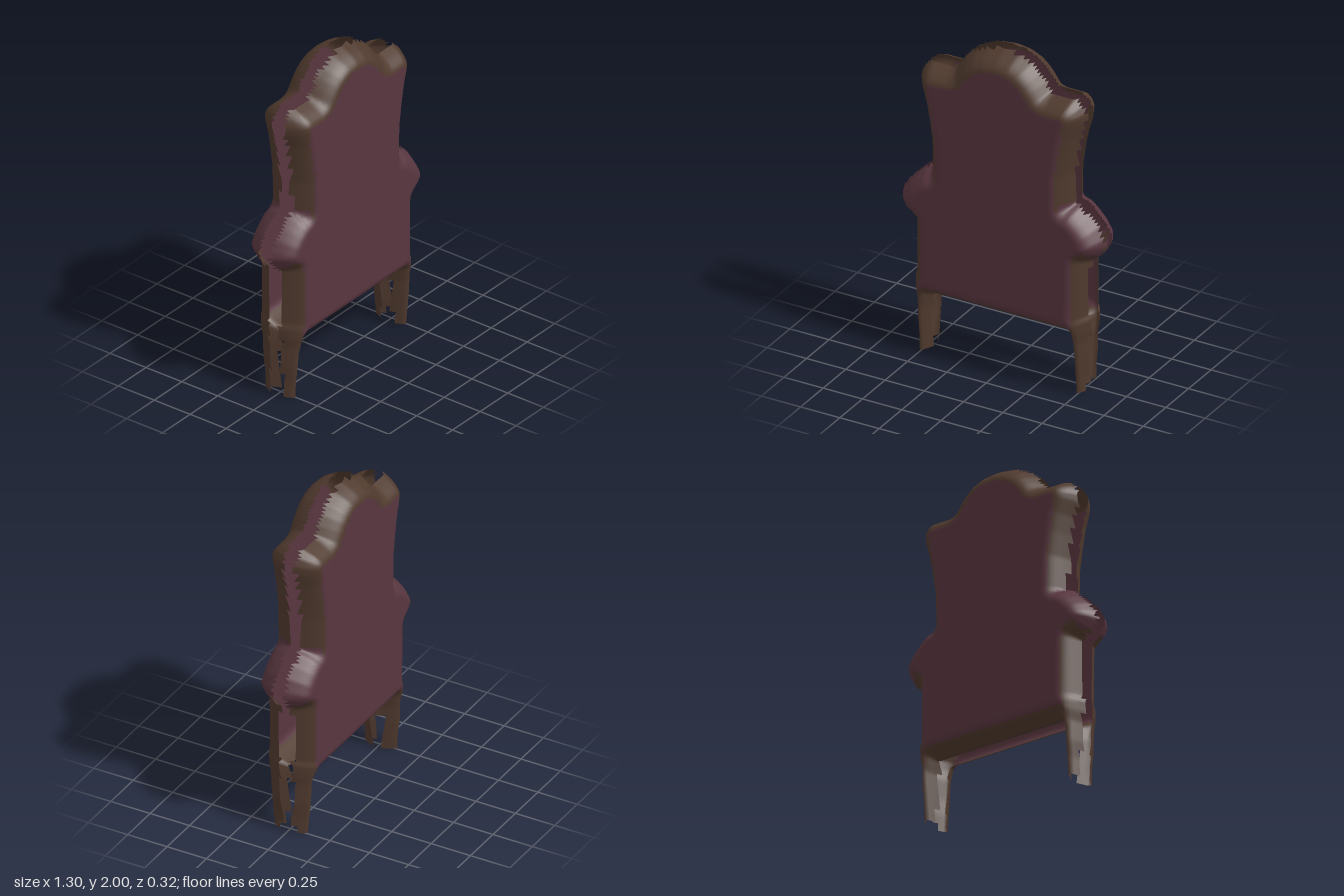
import * as THREE from 'three';

// Half outline of the chair, from the top of the crest to the middle of the seat rail
const OUTLINE = [
  [0, 2.0], [0.095, 1.988], [0.175, 1.952], [0.227, 1.907], [0.265, 1.862], [0.297, 1.817],
  [0.32, 1.81], [0.45, 1.81], [0.497, 1.775], [0.523, 1.725], [0.518, 1.67], [0.492, 1.58],
  [0.472, 1.475], [0.452, 1.34], [0.448, 1.15], [0.485, 1.14], [0.545, 1.09], [0.597, 1.035],
  [0.636, 0.97], [0.645, 0.93], [0.61, 0.865], [0.577, 0.84], [0.55, 0.82], [0.548, 0.48],
  [0.56, 0.45], [0.557, 0.38], [0.547, 0.32], [0.545, 0.2], [0.536, 0.1], [0.532, -0.1],
  [0.465, -0.1], [0.465, 0], [0.454, 0.17], [0.447, 0.28], [0.432, 0.355], [0, 0.355],
];
const CELL = 2 / 134;
const COLS = 88;
const ROWS = 134;
const CENTRE = -0.005;

// Signed distance to the outline, positive inside
function depthInside(x, y) {
  const ax = Math.abs(x - CENTRE);
  let best = Infinity;
  let inside = false;
  for (let i = 0; i < OUTLINE.length; i++) {
    const [x1, y1] = OUTLINE[i];
    const [x2, y2] = OUTLINE[(i + 1) % OUTLINE.length];
    if ((y1 > y) !== (y2 > y) && ax < x1 + ((y - y1) / (y2 - y1)) * (x2 - x1)) inside = !inside;
    if (i === OUTLINE.length - 1) continue; // the mirror axis is not an edge
    const dx = x2 - x1, dy = y2 - y1;
    const t = THREE.MathUtils.clamp(((ax - x1) * dx + (y - y1) * dy) / (dx * dx + dy * dy), 0, 1);
    best = Math.min(best, Math.hypot(ax - x1 - t * dx, y - y1 - t * dy));
  }
  return inside ? best : -best;
}

// Rounded border rising to a flat face
function relief(d) {
  const t = THREE.MathUtils.clamp(d / 0.1, -0.07, 1);
  return 0.04 + 0.118 * (1 - (1 - t) * (1 - t));
}

// Upholstery covers the inner panel and the scrolled arms
function isFabric(x, y, d) {
  const ax = Math.abs(x - CENTRE);
  const arm = y > 0.86 && y < 1.16 && ax > 0.4 && (ax > 0.56 || y > 0.97);
  const border = y > 1.6 ? 0.07 + 0.03 * Math.min(1, (y - 1.6) / 0.15) : 0.07;
  return arm || d > border;
}

// One stepped-edge shell; side is 1 for the front and -1 for the back
function makeShell(side, materials) {
  const positions = [];
  for (let j = 0; j <= ROWS; j++) {
    for (let i = 0; i <= COLS; i++) {
      const x = (i - COLS / 2) * CELL, y = j * CELL;
      positions.push(x, y, side * relief(depthInside(x, y)));
    }
  }
  const wood = [], fabric = [];
  for (let j = 0; j < ROWS; j++) {
    for (let i = 0; i < COLS; i++) {
      const x = (i + 0.5 - COLS / 2) * CELL, y = (j + 0.5) * CELL;
      const d = depthInside(x, y);
      if (d <= 0) continue;
      const a = j * (COLS + 1) + i, b = a + 1, c = b + COLS + 1, e = c - 1;
      const faces = side > 0 ? [a, b, c, a, c, e] : [a, c, b, a, e, c];
      (isFabric(x, y, d) ? fabric : wood).push(...faces);
    }
  }
  const geometry = new THREE.BufferGeometry();
  geometry.setAttribute('position', new THREE.Float32BufferAttribute(positions, 3));
  geometry.setIndex([...wood, ...fabric]);
  geometry.addGroup(0, wood.length, 0);
  geometry.addGroup(wood.length, fabric.length, 1);
  geometry.computeVertexNormals();
  return new THREE.Mesh(geometry, materials);
}

export function createModel() {
  const wood = new THREE.MeshStandardMaterial({ color: 0x503a2e, side: THREE.DoubleSide });
  wood.name = 'dark brown wood';
  const fabric = new THREE.MeshStandardMaterial({ color: 0x58363f, side: THREE.DoubleSide });
  fabric.name = 'plum fabric';

  const chair = new THREE.Group();
  chair.name = 'wingChair';
  const front = makeShell(1, [wood, fabric]);
  front.name = 'frontShell';
  const back = makeShell(-1, [wood, fabric]);
  back.name = 'backShell';
  chair.add(front, back);
  return chair;
}
